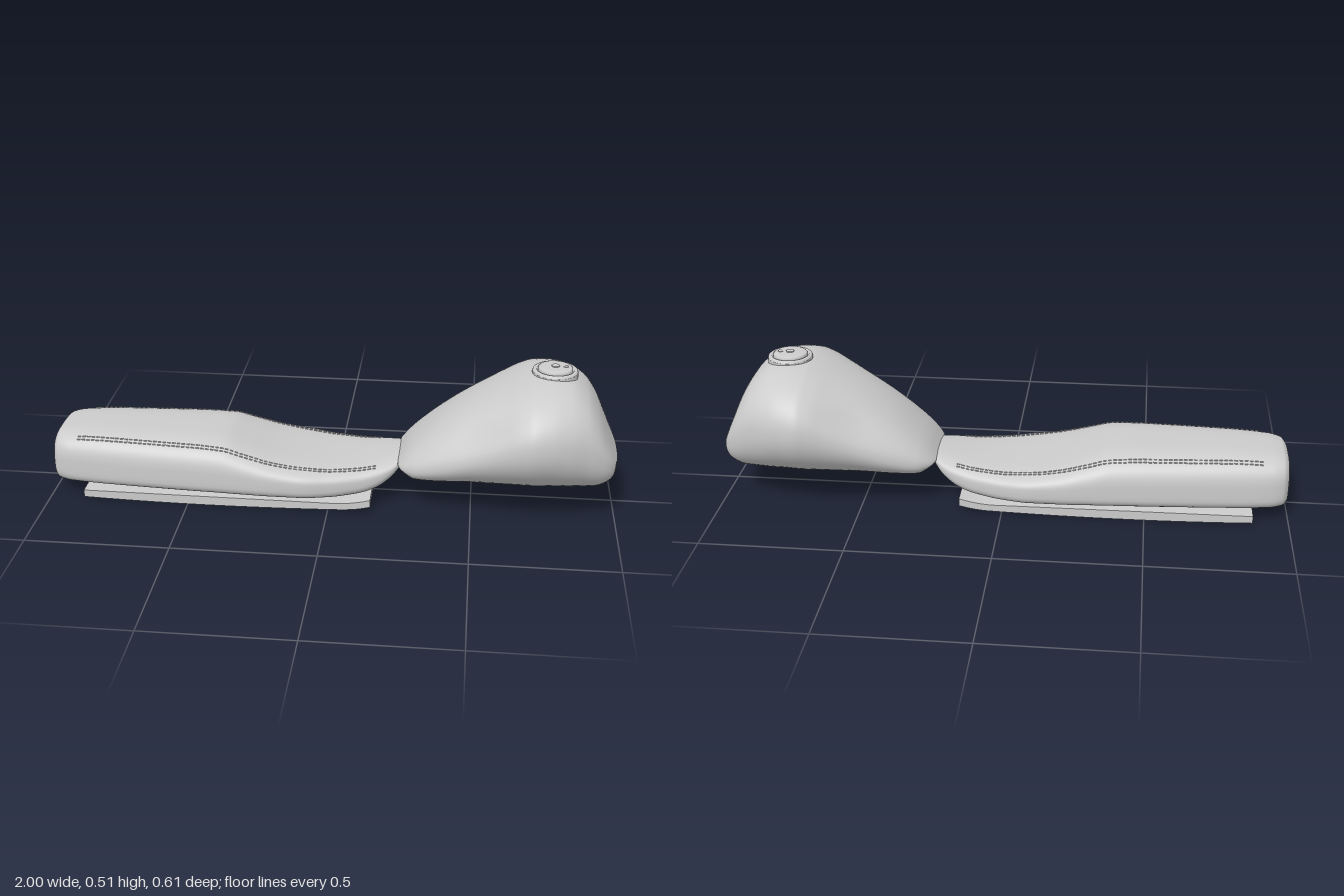
import * as THREE from 'three';
import { mergeGeometries } from 'three/addons/utils/BufferGeometryUtils.js';

// Cross-section stations: [x, bottom, widest height, top, half width, upper roundness, lower roundness]
const TANK = [
  [0.24, 0.150, 0.158, 0.170, 0.11, 2.2, 2.2],
  [0.25, 0.140, 0.155, 0.184, 0.135, 2.2, 2.2],
  [0.27, 0.118, 0.158, 0.210, 0.158, 2.2, 2.2],
  [0.30, 0.099, 0.165, 0.242, 0.18, 2.2, 2.2],
  [0.40, 0.096, 0.200, 0.330, 0.22, 2.1, 2.1],
  [0.50, 0.095, 0.240, 0.397, 0.25, 2.1, 2.0],
  [0.60, 0.094, 0.280, 0.449, 0.281, 2.2, 2.0],
  [0.66, 0.094, 0.300, 0.475, 0.298, 2.3, 2.0],
  [0.70, 0.094, 0.308, 0.487, 0.305, 2.3, 2.0],
  [0.76, 0.094, 0.308, 0.492, 0.295, 2.3, 2.0],
  [0.82, 0.095, 0.300, 0.484, 0.275, 2.3, 2.1],
  [0.88, 0.096, 0.285, 0.448, 0.246, 2.4, 2.2],
  [0.92, 0.100, 0.265, 0.394, 0.225, 2.4, 2.3],
  [0.96, 0.118, 0.235, 0.305, 0.195, 2.4, 2.4],
  [0.985, 0.143, 0.210, 0.248, 0.155, 2.4, 2.4],
  [1.00, 0.185, 0.203, 0.218, 0.08, 2.3, 2.3],
];
const SEAT = [
  [-1.00, 0.060, 0.110, 0.185, 0.09, 3, 3],
  [-0.993, 0.046, 0.110, 0.205, 0.125, 3.2, 3.2],
  [-0.975, 0.037, 0.110, 0.221, 0.150, 3.4, 3.4],
  [-0.93, 0.034, 0.105, 0.229, 0.165, 3.5, 3.5],
  [-0.80, 0.034, 0.100, 0.234, 0.18, 3.5, 3.5],
  [-0.50, 0.034, 0.100, 0.233, 0.203, 3.5, 3.5],
  [-0.38, 0.034, 0.100, 0.228, 0.21, 3.5, 3.5],
  [-0.30, 0.034, 0.100, 0.205, 0.215, 3.5, 3.5],
  [-0.20, 0.034, 0.100, 0.175, 0.22, 3.5, 3.5],
  [-0.10, 0.034, 0.098, 0.157, 0.219, 3.5, 3.5],
  [0.00, 0.034, 0.095, 0.149, 0.2, 3.4, 3.4],
  [0.10, 0.040, 0.098, 0.152, 0.174, 3.2, 3],
  [0.16, 0.055, 0.110, 0.159, 0.155, 3, 2.8],
  [0.21, 0.085, 0.130, 0.167, 0.132, 2.6, 2.5],
  [0.245, 0.125, 0.152, 0.173, 0.10, 2.3, 2.3],
  [0.262, 0.155, 0.165, 0.174, 0.05, 2, 2],
];

// Monotone cubic interpolation of a whole station at x
function station(rows, x) {
  let i = 0;
  while (i < rows.length - 2 && x > rows[i + 1][0]) i++;
  const slope = (k, c) => (rows[k + 1][c] - rows[k][c]) / (rows[k + 1][0] - rows[k][0]);
  const tangent = (k, c) => {
    if (k === 0) return slope(0, c);
    if (k === rows.length - 1) return slope(k - 1, c);
    const a = slope(k - 1, c), b = slope(k, c);
    return a * b <= 0 ? 0 : (2 * a * b) / (a + b);
  };
  const h = rows[i + 1][0] - rows[i][0], t = (x - rows[i][0]) / h;
  return rows[i].map((v, c) => c === 0 ? x :
    v * (1 + 2 * t) * (1 - t) ** 2 + h * tangent(i, c) * t * (1 - t) ** 2 +
    rows[i + 1][c] * t * t * (3 - 2 * t) + h * tangent(i + 1, c) * t * t * (t - 1));
}

// Closed smooth skin of superellipse rings; shape(x, angle) scales the width locally
function loft(rows, shape = () => 1, sides = 72, steps = 6) {
  const pos = [], index = [], xs = [];
  for (let i = 0; i < rows.length - 1; i++)
    for (let k = 0; k < steps; k++) xs.push(THREE.MathUtils.lerp(rows[i][0], rows[i + 1][0], k / steps));
  xs.push(rows[rows.length - 1][0]);
  xs.forEach((x, i) => {
    const [, bottom, mid, top, w, nUp, nLow] = station(rows, x);
    for (let j = 0; j < sides; j++) {
      const a = (j / sides) * Math.PI * 2, c = Math.cos(a), s = Math.sin(a);
      const p = 2 / (s >= 0 ? nUp : nLow);
      const z = w * Math.sign(c) * Math.abs(c) ** p * shape(x, a);
      const y = mid + (s >= 0 ? top - mid : bottom - mid) * Math.abs(s) ** p;
      pos.push(x, y, z);
      if (i < xs.length - 1) {
        const A = i * sides + j, B = i * sides + (j + 1) % sides;
        index.push(A, A + sides, B + sides, A, B + sides, B);
      }
    }
  });
  const last = (xs.length - 1) * sides, n = xs.length * sides;
  for (const e of [rows[0], rows[rows.length - 1]]) pos.push(e[0], e[2], 0);
  for (let j = 0; j < sides; j++) {
    const k = (j + 1) % sides;
    index.push(n, j, k, n + 1, last + k, last + j);
  }
  const g = new THREE.BufferGeometry();
  g.setAttribute('position', new THREE.Float32BufferAttribute(pos, 3));
  g.setIndex(index);
  g.computeVertexNormals();
  return g;
}

// Point on the seat's upper skin
function seatPoint(x, z) {
  const [, , mid, top, w, n] = station(SEAT, x);
  const r = Math.min(1, Math.abs(z) / w);
  return new THREE.Vector3(x, mid + (top - mid) * (1 - r ** n) ** (1 / n), z);
}

export function createModel() {
  const model = new THREE.Group();
  const grey = new THREE.MeshStandardMaterial({ color: 0xcccccc });
  grey.name = 'light grey';
  const add = (name, geometry, parent = model) => {
    const m = new THREE.Mesh(geometry, grey);
    m.name = name;
    parent.add(m);
    return m;
  };

  // Fuel tank with a shallow knee scoop on each upper side
  add('fuelTank', loft(TANK, (x, a) => {
    const up = Math.asin(Math.sin(a));
    return 1 - 0.1 * Math.exp(-(((x - 0.5) / 0.12) ** 2) - ((up - 0.6) / 0.32) ** 2);
  }));

  // Filler cap: collar, ring, raised lid and lock
  const cap = new THREE.Group();
  cap.name = 'fillerCap';
  cap.position.set(0.77, 0, 0);
  model.add(cap);
  const lathe = pts => new THREE.LatheGeometry(pts.map(p => new THREE.Vector2(...p)), 48);
  const ring = (r, h, y) => new THREE.CylinderGeometry(r, r, h, 48).translate(0, y, 0);
  add('capCollar', ring(0.079, 0.018, 0.483), cap);
  add('capRing', lathe([[0.079, 0.490], [0.077, 0.497], [0.073, 0.5], [0.066, 0.5], [0.063, 0.496], [0.06, 0.492]]), cap);
  add('capLid', lathe([[0.06, 0.490], [0.06, 0.503], [0.056, 0.507], [0.04, 0.509], [0, 0.51]]), cap);
  add('capKnob', ring(0.014, 0.006, 0.51), cap);
  add('capLock', ring(0.009, 0.004, 0.509).translate(0.035, 0, 0), cap);

  // Seat cushion
  add('seatCushion', loft(SEAT));

  // Twin rows of stitching along both edges of the seat
  const seamZ = new THREE.SplineCurve([[-0.9, 0.13], [-0.5, 0.155], [-0.2, 0.167], [0, 0.152], [0.17, 0.12]]
    .map(p => new THREE.Vector2(...p)));
  const stitches = [];
  const pose = new THREE.Object3D();
  for (const side of [1, -1]) for (const offset of [-0.006, 0.006]) {
    const count = 62;
    for (let i = 0; i < count; i++) {
      const a = seamZ.getPointAt(i / count), b = seamZ.getPointAt((i + 0.65) / count);
      const p = seatPoint(a.x, side * (a.y + offset)), q = seatPoint(b.x, side * (b.y + offset));
      pose.position.copy(p).lerp(q, 0.5);
      pose.lookAt(q);
      pose.updateMatrix();
      stitches.push(new THREE.BoxGeometry(0.004, 0.005, p.distanceTo(q)).applyMatrix4(pose.matrix));
    }
  }
  add('seatStitching', mergeGeometries(stitches));

  // Base plate under the seat, curling up at its front end
  const plate = new THREE.Shape();
  plate.moveTo(-0.875, 0.014);
  plate.quadraticCurveTo(-0.45, -0.003, 0.04, 0.012);
  plate.quadraticCurveTo(0.1, 0.014, 0.15, 0.028);
  plate.lineTo(0.15, 0.055);
  plate.quadraticCurveTo(0.09, 0.038, 0.03, 0.036);
  plate.lineTo(-0.875, 0.04);
  plate.closePath();
  add('seatBase', new THREE.ExtrudeGeometry(plate, { depth: 0.376, bevelEnabled: false, curveSegments: 16 })
    .translate(0, -0.004, -0.188));

  // Thin rib under the base plate
  add('baseRib', new THREE.BoxGeometry(0.6, 0.008, 0.35).translate(-0.42, 0.004, 0));

  return model;
}
